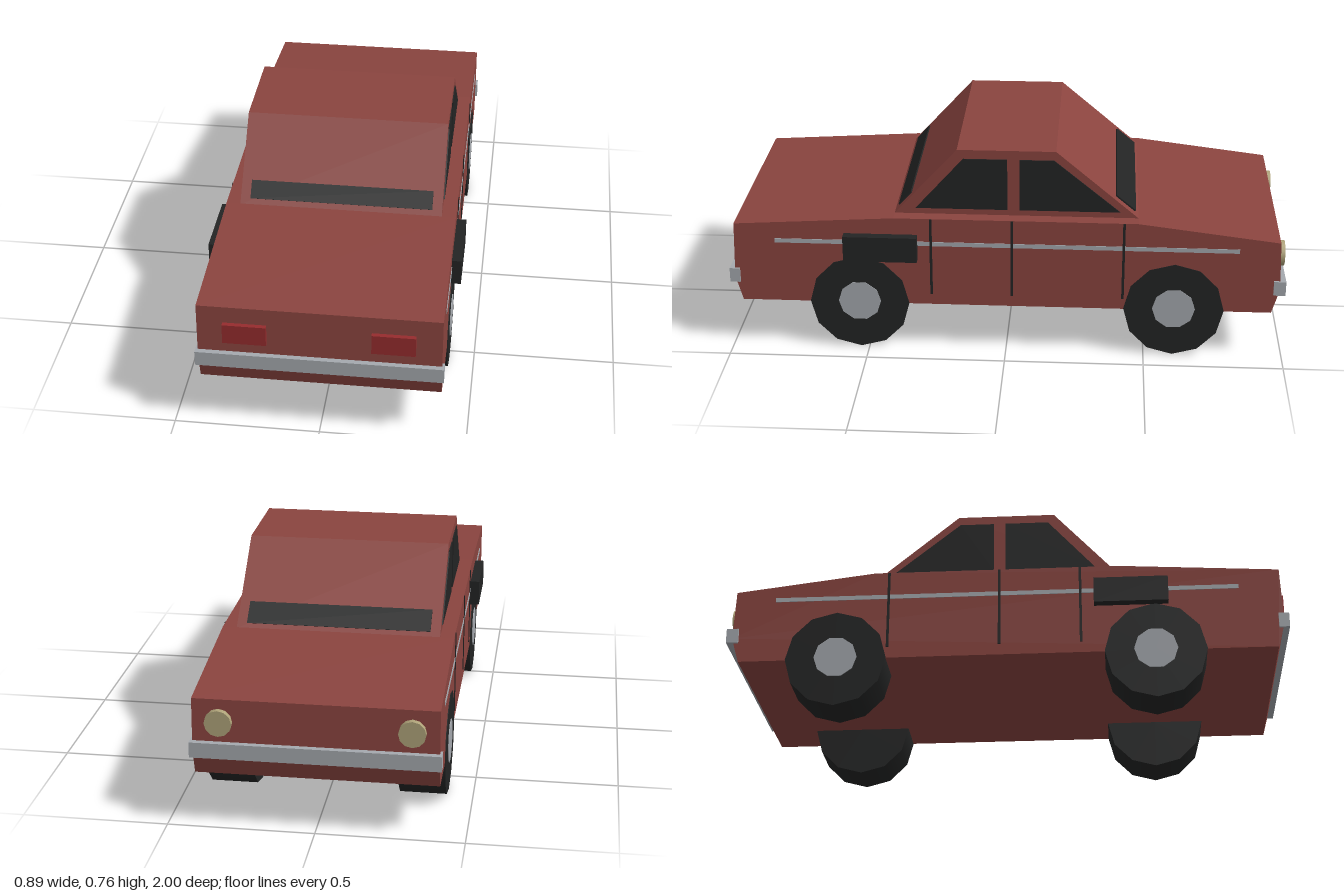
import * as THREE from 'three';

const mat = (name, color) => {
  const m = new THREE.MeshStandardMaterial({ color });
  m.name = name;
  return m;
};

export function createModel() {
  const car = new THREE.Group();
  car.name = 'sedan';
  const paint = mat('red paint', 0x8a443f);
  const black = mat('black rubber and glass', 0x232424);
  const silver = mat('silver trim', 0xa5a9ae);
  const red = mat('red lamp', 0x962c2e);
  const cream = mat('cream lamp', 0xb0a47a);

  const add = (name, geometry, material, x = 0, y = 0, z = 0) => {
    const m = new THREE.Mesh(geometry, material);
    m.name = name;
    m.position.set(x, y, z);
    car.add(m);
    return m;
  };
  const box = (name, material, w, h, d, x, y, z) =>
    add(name, new THREE.BoxGeometry(w, h, d), material, x, y, z);

  // Side profile given as [z, y], extruded across the car and centred on x
  const profile = (name, points, width, material, x = 0) => {
    const shape = new THREE.Shape(points.map(([z, y]) => new THREE.Vector2(z, y)));
    const g = new THREE.ExtrudeGeometry(shape, { depth: width, bevelEnabled: false });
    g.translate(0, 0, -width / 2).rotateY(-Math.PI / 2);
    return add(name, g, material, x);
  };

  // Lower body and cabin
  profile('body', [
    [0.957, 0.178], [0.982, 0.27], [0.975, 0.48], [0.4, 0.515],
    [-0.47, 0.515], [-0.973, 0.453], [-0.98, 0.27], [-0.953, 0.178],
  ], 0.82, paint);
  profile('cabin', [[0.402, 0.513], [0.175, 0.762], [-0.175, 0.762], [-0.472, 0.513]], 0.72, paint);

  // Narrow glass strips lying on the two sloping screens
  profile('frontScreen', [[0.386, 0.53], [0.341, 0.58], [0.345, 0.583], [0.39, 0.533]], 0.65, black);
  profile('rearScreen', [[-0.455, 0.527], [-0.388, 0.583], [-0.392, 0.587], [-0.461, 0.53]], 0.65, black);

  // Bumpers
  box('frontBumper', silver, 0.836, 0.054, 0.037, 0, 0.278, 0.981);
  box('rearBumper', silver, 0.836, 0.054, 0.043, 0, 0.278, -0.978);

  for (const s of [1, -1]) {
    // Side windows
    profile('sideWindow', [[0.324, 0.537], [0.153, 0.729], [-0.003, 0.729], [-0.003, 0.537]], 0.006, black, s * 0.361);
    profile('sideWindow', [[-0.046, 0.537], [-0.046, 0.729], [-0.169, 0.729], [-0.405, 0.537]], 0.006, black, s * 0.361);

    // Door seams, trim stripe and mirror block
    for (const z of [0.268, -0.022, -0.42]) box('doorSeam', black, 0.006, 0.295, 0.009, s * 0.41, 0.3665, z);
    box('sideStripe', silver, 0.004, 0.016, 1.66, s * 0.41, 0.418, 0);
    box('mirror', black, 0.035, 0.095, 0.264, s * 0.4265, 0.405, 0.448);

    // Lamps
    box('redLamp', red, 0.147, 0.073, 0.018, s * 0.249, 0.383, 0.984);
    const lamp = new THREE.CylinderGeometry(0.046, 0.046, 0.02, 12).rotateX(Math.PI / 2);
    add('roundLamp', lamp, cream, s * 0.32, 0.375, -0.985);

    // Wheels with hubcaps
    for (const z of [0.53, -0.604]) {
      const tyre = new THREE.CylinderGeometry(0.18, 0.18, 0.162, 12).rotateZ(Math.PI / 2);
      add('tyre', tyre, black, s * 0.331, 0.18, z);
      const hub = new THREE.CylinderGeometry(0.077, 0.077, 0.01, 10).rotateZ(Math.PI / 2);
      add('hubcap', hub, silver, s * 0.41, 0.185, z);
    }
  }
  return car;
}
